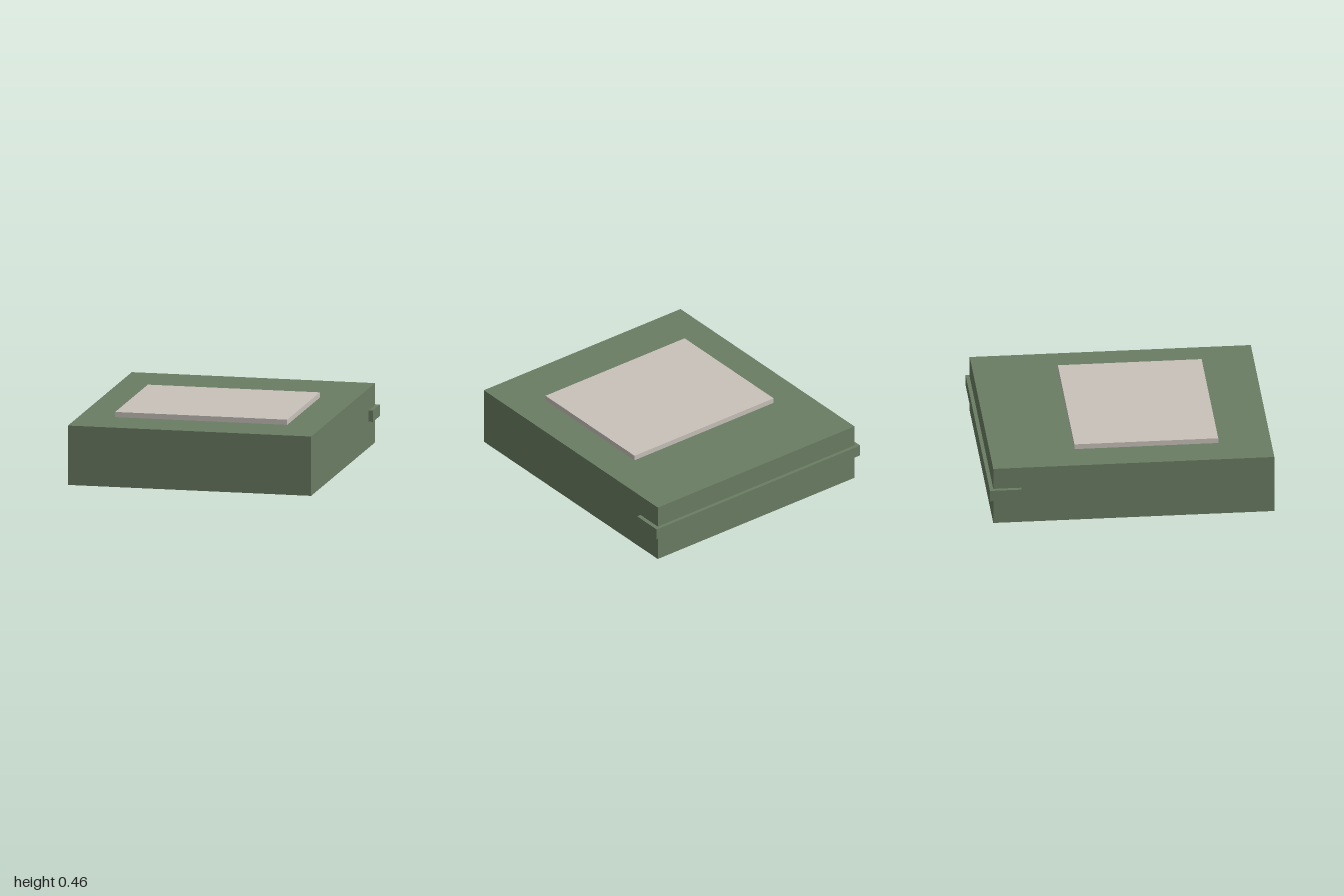
import * as THREE from 'three';

export function createModel() {
  const model = new THREE.Group();
  const green = new THREE.MeshStandardMaterial({ color: 0x6b7d63 });
  green.name = 'sage green';
  const cream = new THREE.MeshStandardMaterial({ color: 0xc8c2ba });
  cream.name = 'warm grey';

  // Box given by its lower and upper limits on each axis
  function box(name, material, [x0, x1], [y0, y1], [z0, z1]) {
    const mesh = new THREE.Mesh(new THREE.BoxGeometry(x1 - x0, y1 - y0, z1 - z0), material);
    mesh.position.set((x0 + x1) / 2, (y0 + y1) / 2, (z0 + z1) / 2);
    mesh.name = name;
    model.add(mesh);
  }

  // Main slab
  box('body', green, [-0.873, 0.873], [0, 0.423], [-0.974, 1]);

  // Strip wrapping the back edge and both rear corners
  box('rearBand', green, [-0.903, 0.903], [0.186, 0.267], [-1, -0.778]);

  // Raised panel on the top
  box('topPanel', cream, [-0.62, 0.615], [0.423, 0.46], [-0.38, 0.63]);

  return model;
}
